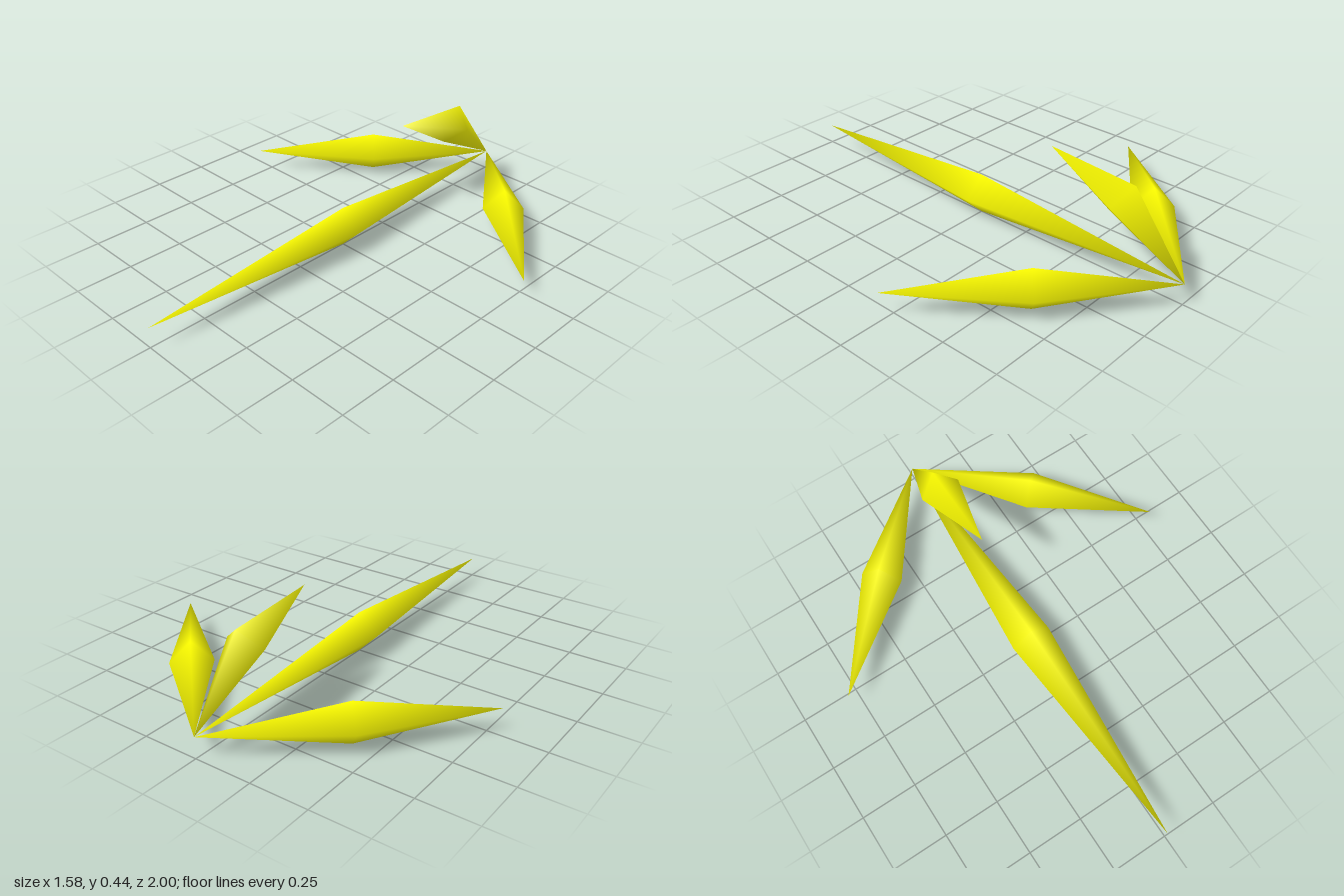
import * as THREE from 'three';

const ROOT = new THREE.Vector3(0, 0.09, -1); // point where all spikes meet
const RADIUS = 0.09;

// Four-sided spike from the shared root, widest at mid, ending at tip
function spike(name, mid, tip, up, material) {
  const m = new THREE.Vector3(...mid);
  const t = new THREE.Vector3(...tip);
  const u = new THREE.Vector3(...up).normalize();
  const side = t.clone().sub(ROOT).cross(u).normalize();

  const points = [ROOT, t];
  const index = [];
  for (let i = 0; i < 4; i++) {
    const a = (i * Math.PI) / 2;
    points.push(m.clone()
      .addScaledVector(u, RADIUS * Math.cos(a))
      .addScaledVector(side, RADIUS * Math.sin(a)));
    const p = 2 + i, q = 2 + ((i + 1) % 4);
    index.push(1, p, q, 0, q, p);
  }
  const geometry = new THREE.BufferGeometry().setFromPoints(points);
  geometry.setIndex(index);
  geometry.computeVertexNormals();

  const mesh = new THREE.Mesh(geometry, material);
  mesh.name = name;
  return mesh;
}

export function createModel() {
  const group = new THREE.Group();
  group.name = 'spikeCluster';
  const yellow = new THREE.MeshStandardMaterial({ color: 0xffff00 });

  // Long centre spike lying flat
  group.add(spike('centreSpike', [0, 0.09, 0], [0, 0.09, 1], [0, 1, 0], yellow));

  // Mirrored pair splayed out at 45 degrees
  for (const [name, s] of [['leftSpike', 1], ['rightSpike', -1]]) {
    group.add(spike(name, [s * 0.395, 0.09, -0.605], [s * 0.79, 0.09, -0.21], [0, 1, 0], yellow));
  }

  // Short raised spike, bent forward at its widest point
  group.add(spike('raisedSpike', [0, 0.335, -0.71], [0, 0.44, -0.365], [0, 0.075, -0.05], yellow));

  return group;
}
